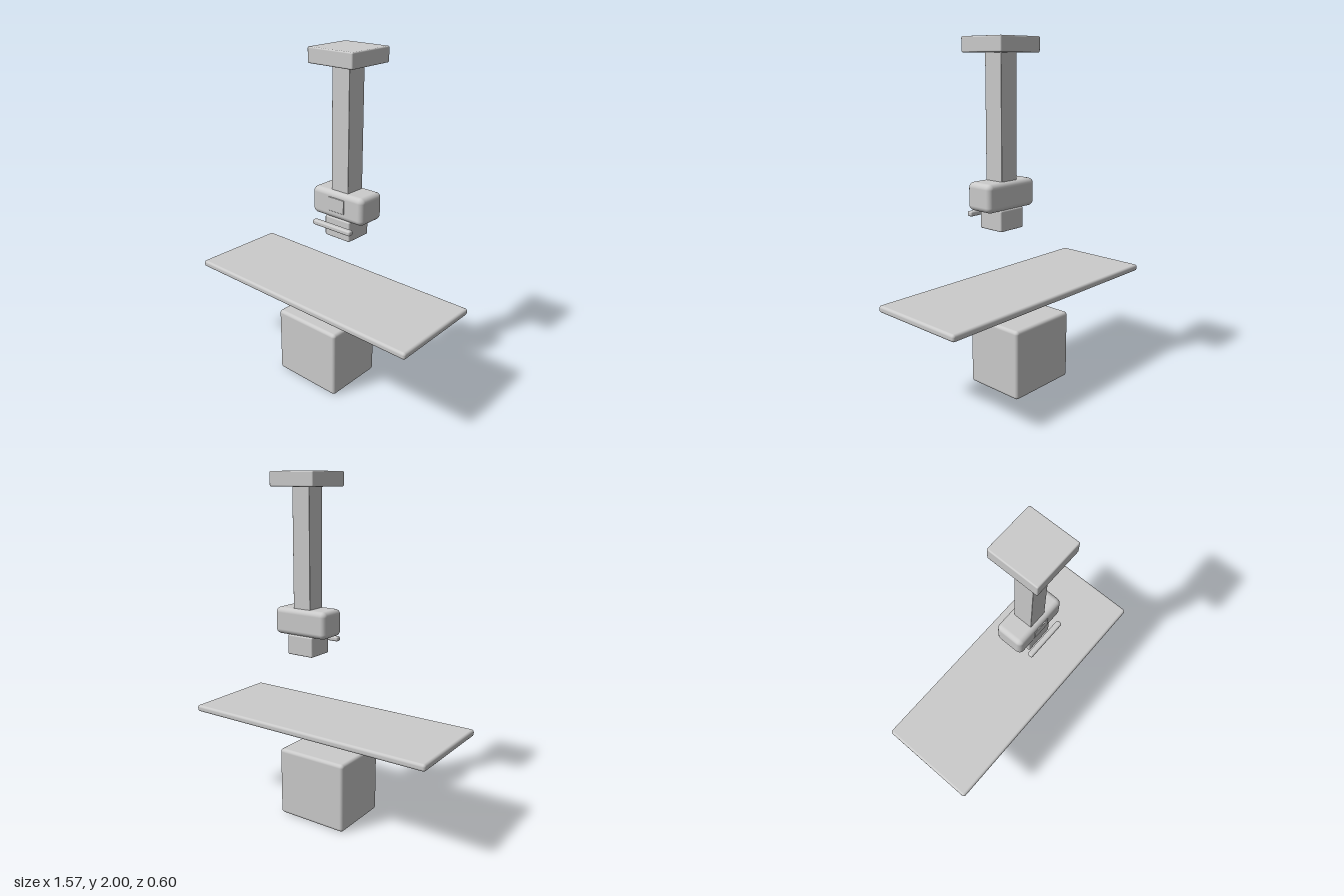
import * as THREE from 'three';
import { RoundedBoxGeometry } from 'three/addons/geometries/RoundedBoxGeometry.js';

const material = new THREE.MeshStandardMaterial({ color: 0xcccccc });

// Rounded box of a given size, standing with its underside at y = bottom
function block(name, [w, h, d], [x, bottom, z], radius) {
  const mesh = new THREE.Mesh(new RoundedBoxGeometry(w, h, d, 3, radius), material);
  mesh.name = name;
  mesh.position.set(x, bottom + h / 2, z);
  return mesh;
}

export function createModel() {
  const group = new THREE.Group();
  group.name = 'overheadMachineAndTable';

  // Pedestal and floating table top
  group.add(block('pedestal', [0.446, 0.413, 0.374], [0, 0, 0], 0.02));
  group.add(block('tableTop', [1.57, 0.04, 0.6], [0, 0.564, 0], 0.015));

  // Ceiling-hung unit, offset to the left of the table centre
  const hanging = new THREE.Group();
  hanging.name = 'hangingUnit';
  hanging.position.x = 0.147;
  hanging.add(
    block('ceilingPlate', [0.296, 0.083, 0.296], [0, 1.917, 0], 0.008),
    block('column', [0.117, 0.72, 0.12], [0, 1.217, 0], 0.004),
    block('head', [0.355, 0.157, 0.176], [0, 1.081, 0], 0.03),
    block('controlPanel', [0.11, 0.08, 0.03], [0, 1.125, 0.078], 0.004),
    block('collimator', [0.175, 0.118, 0.164], [0, 0.967, 0], 0.009),
    block('handleBar', [0.268, 0.029, 0.034], [0, 1.033, 0.12], 0.01),
  );
  group.add(hanging);
  return group;
}
